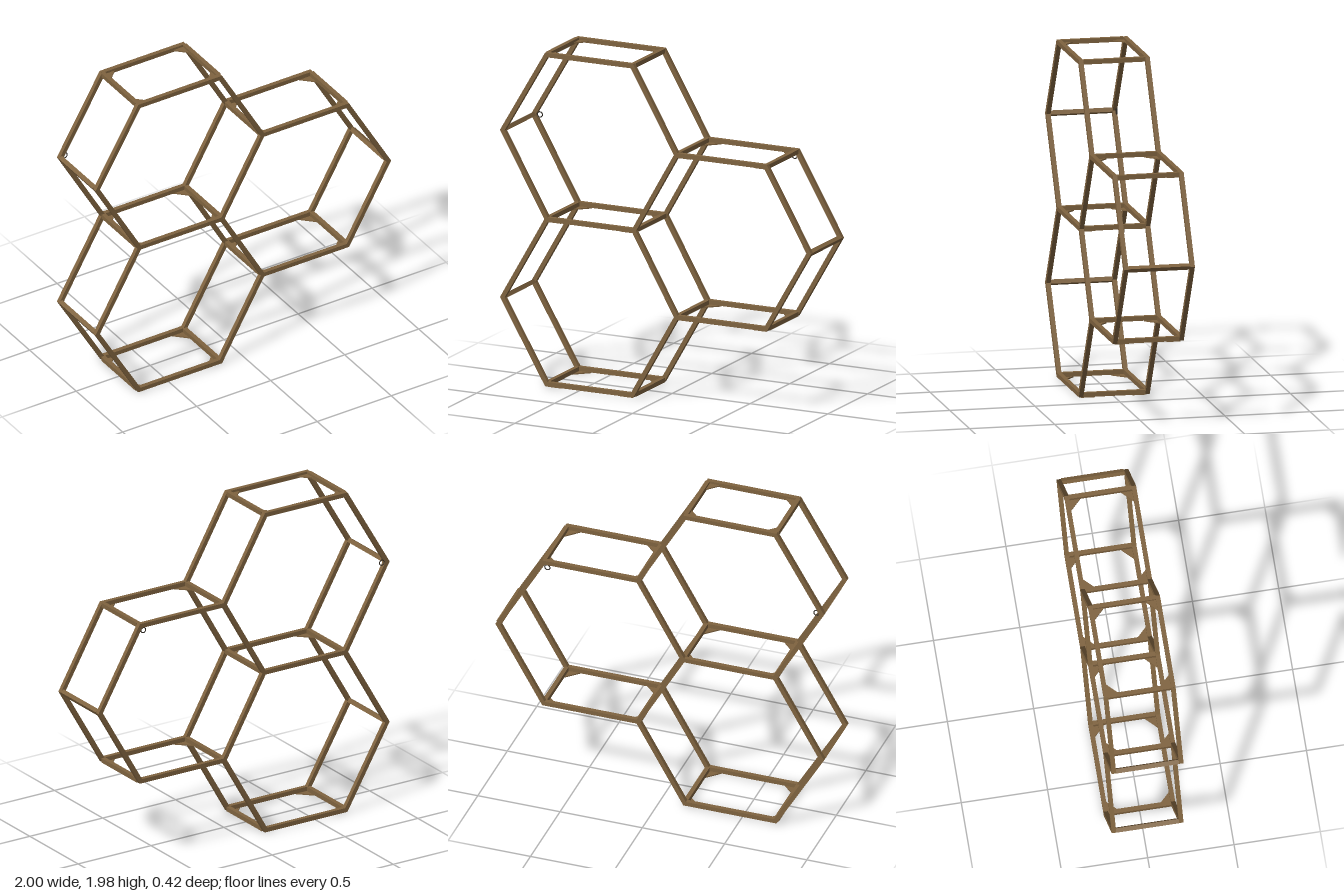
import * as THREE from 'three';

const T = 0.026;        // bar thickness
const H = T / 2;
const ZF = 0.195;       // depth of the front and back bar centres

// Joints of the three honeycomb cells
const NODES = {
  a: [-0.985, 1.49], b: [-0.703, 1.968], c: [-0.152, 1.968], d: [0.132, 1.475],
  e: [-0.142, 0.995], f: [-0.7, 0.995], g: [-0.985, 0.5], h: [-0.703, 0.02],
  i: [-0.152, 0.02], j: [0.132, 0.515], k: [0.706, 1.475], l: [0.983, 0.995], m: [0.706, 0.515],
};
const EDGES = ['ab', 'bc', 'cd', 'de', 'ef', 'fa', 'fg', 'gh', 'hi', 'ij', 'je', 'dk', 'kl', 'lm', 'mj'];

const point = (n) => new THREE.Vector2(...NODES[n]);
const neighbours = (n) => EDGES.filter((e) => e.includes(n)).map((e) => (e[0] === n ? e[1] : e[0]));

// Mitred end of a bar leaving joint n towards joint to: its right corner, tip and left corner
function barEnd(n, to) {
  const p = point(n);
  const dir = point(to).sub(p).normalize();
  const normal = new THREE.Vector2(-dir.y, dir.x);
  const corner = (side) => {
    const met = neighbours(n).some((o) => o !== to && point(o).sub(p).dot(normal) * side > 0);
    return p.clone().addScaledVector(normal, side * H).addScaledVector(dir, (met ? H : -H) / Math.sqrt(3));
  };
  return [corner(1), p, corner(-1)];
}

export function createModel() {
  const model = new THREE.Group();
  const wood = new THREE.MeshStandardMaterial({ color: 0x7f633f });
  wood.name = 'brown wood';
  const metal = new THREE.MeshStandardMaterial({ color: 0x2b2620 });
  metal.name = 'dark metal';

  const add = (name, geometry, material, x, y, z) => {
    const mesh = new THREE.Mesh(geometry, material);
    mesh.name = name;
    mesh.position.set(x, y, z);
    model.add(mesh);
    return mesh;
  };

  // Front and back honeycomb bars
  for (const [s, t] of EDGES) {
    const shape = new THREE.Shape([...barEnd(s, t), ...barEnd(t, s)]);
    const bar = new THREE.ExtrudeGeometry(shape, { depth: T, bevelEnabled: false });
    add('frontBar', bar, wood, 0, 0, ZF - H);
    add('backBar', bar, wood, 0, 0, -ZF - H);
  }

  // Cross bars joining front and back at every joint
  const cross = new THREE.BoxGeometry(T, T, 2 * ZF - T);
  for (const n of Object.keys(NODES)) {
    const p = point(n);
    const mesh = add('crossBar', cross, wood, p.x, p.y, 0);
    const flat = neighbours(n).some((o) => Math.abs(point(o).y - p.y) < 0.01);
    if (!flat) mesh.rotation.z = p.x < 0 ? -Math.PI / 3 : Math.PI / 3;
  }

  // Triangular corner braces in the level panels
  const LEG = 0.082;
  for (const [s, t] of ['bc', 'fe', 'hi', 'dk', 'jm']) {
    const left = point(s), right = point(t);
    const drop = s === 'b' ? 0.004 : H + 0.003;
    for (const sx of [1, -1]) {
      for (const sz of [1, -1]) {
        const shape = new THREE.Shape([[0, 0], [sx * LEG, 0], [0, sz * LEG]].map((v) => new THREE.Vector2(...v)));
        const brace = new THREE.ExtrudeGeometry(shape, { depth: 0.007, bevelEnabled: false });
        brace.translate(0, 0, -0.0035).rotateX(-Math.PI / 2);
        const x = sx > 0 ? left.x + 0.004 : right.x - 0.004;
        add('cornerBrace', brace, wood, x, left.y - drop, sz * (ZF - 0.003));
      }
    }
  }

  // Small hanging rings on the back
  const ring = new THREE.TorusGeometry(0.016, 0.003, 8, 20);
  add('hangingRing', ring, metal, -0.951, 1.49, -0.2);
  add('hangingRing', ring, metal, 0.685, 1.443, -0.2);

  return model;
}
